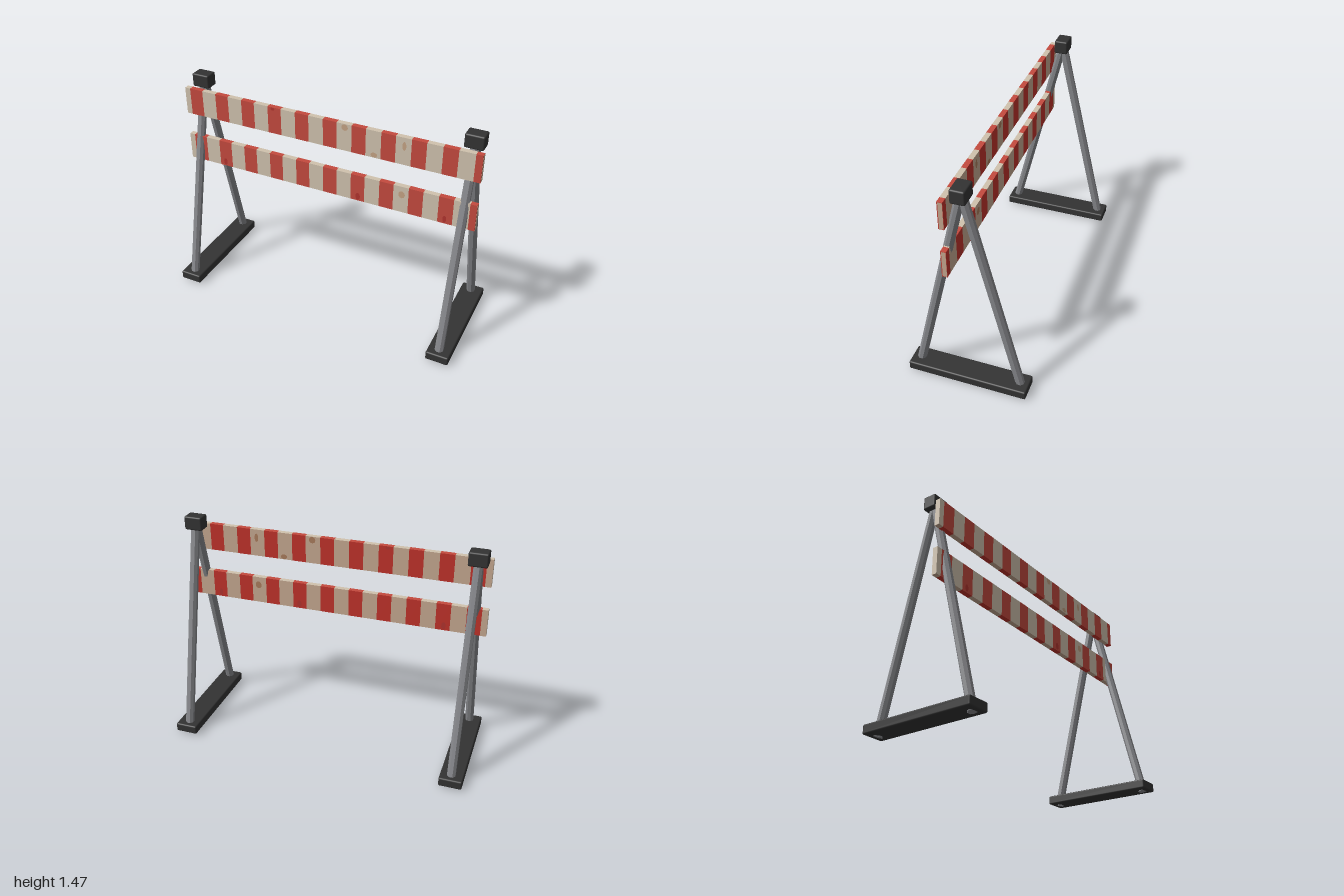
import * as THREE from 'three';
import { RoundedBoxGeometry } from 'three/addons/geometries/RoundedBoxGeometry.js';

const mat = (name, color, extra = {}) => new THREE.MeshStandardMaterial({ name, color, ...extra });

export function createModel() {
  const rubber = mat('black rubber', 0x333333);
  const steel = mat('grey steel', 0x86878b, { flatShading: true });
  const cream = mat('cream paint', 0xd0c2ae);
  const red = mat('red paint', 0xc44a3e);
  const backCream = mat('weathered cream paint', 0xc6a890);
  const backRed = mat('deep red paint', 0xc0322a);
  const stain = mat('tan stain', 0xc4a384);
  const backStain = mat('brown stain', 0xaa7c5c);
  const darkRed = mat('dark red stain', 0xb0332e);

  const model = new THREE.Group();
  model.name = 'barricade';
  const add = (parent, name, geometry, material, x, y, z) => {
    const mesh = new THREE.Mesh(geometry, material);
    mesh.name = name;
    mesh.position.set(x, y, z);
    parent.add(mesh);
    return mesh;
  };

  // End frames: a foot, two leaning legs and a cap
  const legTop = new THREE.Vector3(0, 1.425, 0);
  for (const side of [-1, 1]) {
    const frame = new THREE.Group();
    frame.name = side > 0 ? 'leftFrame' : 'rightFrame';
    frame.position.x = side * 0.922;
    add(frame, 'foot', new RoundedBoxGeometry(0.15, 0.06, 0.77, 2, 0.01), rubber, side * 0.003, 0.04, 0);
    add(frame, 'cap', new RoundedBoxGeometry(0.12, 0.09, 0.09, 2, 0.01), rubber, 0, 1.426, 0);
    for (const end of [-1, 1]) {
      const foot = new THREE.Vector3(0, 0.007, end * 0.341);
      const axis = legTop.clone().sub(foot);
      const geometry = new THREE.CylinderGeometry(0.029, 0.029, axis.length(), 8);
      geometry.rotateY(Math.PI / 8);
      const mid = foot.clone().add(legTop).multiplyScalar(0.5);
      const leg = add(frame, end > 0 ? 'frontLeg' : 'backLeg', geometry, steel, mid.x, mid.y, mid.z);
      leg.quaternion.setFromUnitVectors(new THREE.Vector3(0, 1, 0), axis.normalize());
    }
    model.add(frame);
  }

  // Stripe boundaries along a board, starting with cream
  const bounds = [-1];
  for (let k = 0; k <= 10; k++) {
    const start = -0.962 + 0.192 * k;
    bounds.push(start, Math.min(start + 0.093, 1));
  }

  // Worn patches: x, height above board centre, half width, half height
  const boards = [
    { name: 'upperBoard', y: 1.302,
      worn: [[0.145, 0.068, 0.022, 0.022], [0.53, 0.035, 0.013, 0.03], [0.34, -0.072, 0.022, 0.017]],
      dark: [[-0.35, 0.08, 0.014, 0.01]] },
    { name: 'lowerBoard', y: 0.965,
      worn: [[0.53, 0.035, 0.022, 0.025]],
      dark: [[-0.73, -0.06, 0.014, 0.026], [0.24, -0.06, 0.016, 0.026], [0.81, -0.06, 0.012, 0.026]] },
  ];
  const depth = 0.034, height = 0.182, boardZ = 0.091;

  for (const { name, y, worn, dark } of boards) {
    const board = new THREE.Group();
    board.name = name;
    board.position.set(0, y, boardZ);

    // Alternating painted blocks; the front and back faces have weathered differently
    for (let i = 0; i < bounds.length - 1; i++) {
      const a = bounds[i], b = bounds[i + 1];
      const isRed = i % 2 === 1;
      const face = isRed ? red : cream, back = isRed ? backRed : backCream;
      add(board, isRed ? 'redStripe' : 'creamStripe', new THREE.BoxGeometry(b - a, height, depth),
        [face, face, face, back, face, back], (a + b) / 2, 0, 0);
    }

    // Bare end of the board, with a red rim left around it
    add(board, 'bareEnd', new THREE.BoxGeometry(0.002, height - 0.008, depth - 0.008), backCream, 1, 0, -0.002);

    // Stains on both faces
    const patch = ([x, py, w, h], front, back) => {
      const geometry = new THREE.CircleGeometry(1, 9).scale(w, h, 1);
      add(board, 'frontStain', geometry, front, x, py, depth / 2 + 0.0015);
      add(board, 'backStain', geometry, back, x, py, -depth / 2 - 0.0015).rotation.y = Math.PI;
    };
    worn.forEach((p) => patch(p, stain, backStain));
    dark.forEach((p) => patch(p, darkRed, darkRed));
    model.add(board);
  }
  return model;
}
